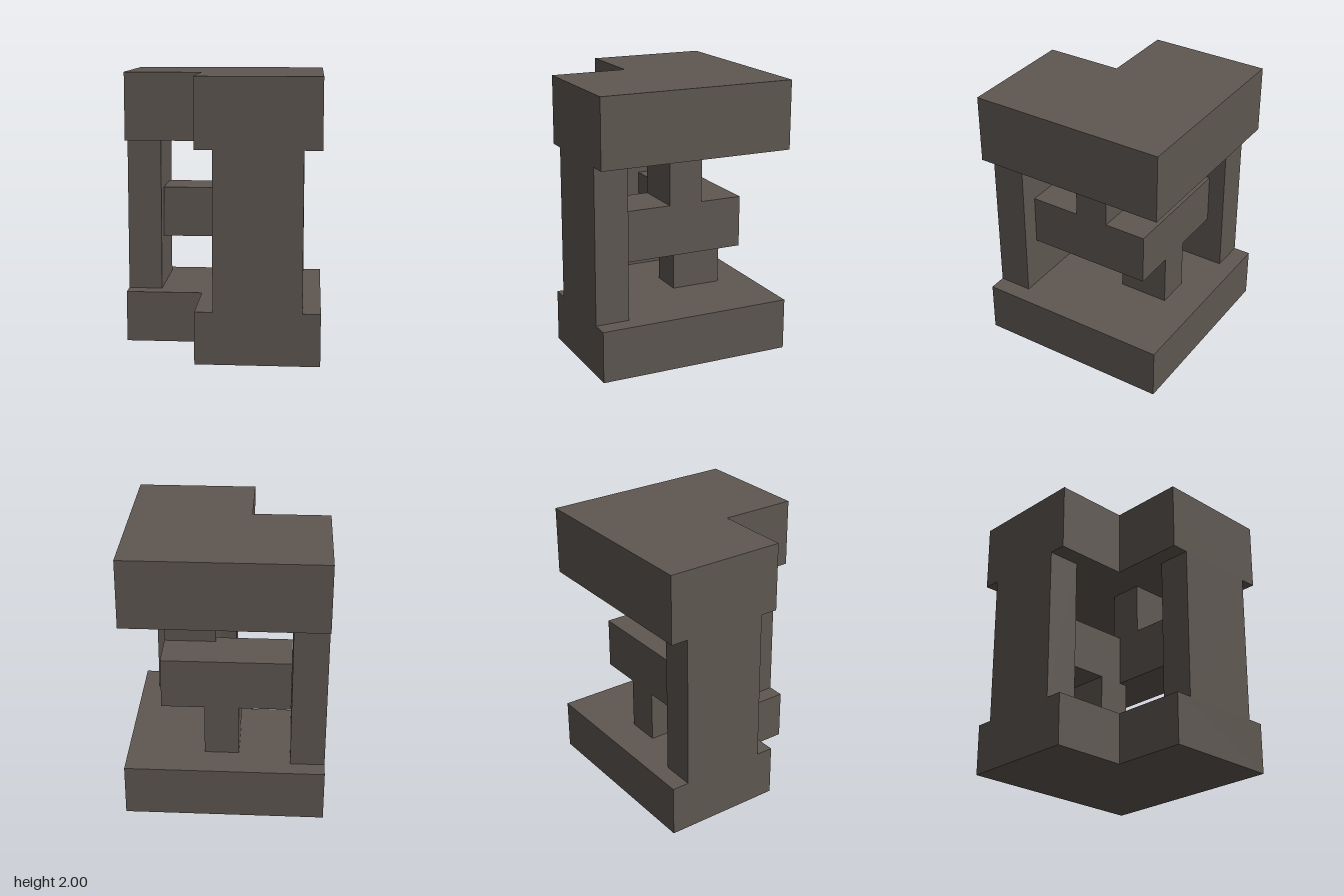
import * as THREE from 'three';

export function createModel() {
  const group = new THREE.Group();
  const stone = new THREE.MeshStandardMaterial({ color: 0x5e5751 });
  stone.name = 'dark stone';

  const add = (name, geometry) => {
    const mesh = new THREE.Mesh(geometry, stone);
    mesh.name = name;
    group.add(mesh);
  };

  // L-shaped prism: square from -out to out, notched at the -x, +z corner;
  // the two arms have the given width
  const ell = (name, out, width, y0, y1) => {
    const a = out - width;
    const shape = new THREE.Shape([
      [-out, out], [-out, a], [a, a], [a, -out], [out, -out], [out, out],
    ].map(([x, y]) => new THREE.Vector2(x, y)));
    const geometry = new THREE.ExtrudeGeometry(shape, { depth: y1 - y0, bevelEnabled: false });
    add(name, geometry.rotateX(-Math.PI / 2).translate(0, y0, 0));
  };

  const block = (name, [x0, x1], [y0, y1], [z0, z1]) => {
    const geometry = new THREE.BoxGeometry(x1 - x0, y1 - y0, z1 - z0);
    add(name, geometry.translate((x0 + x1) / 2, (y0 + y1) / 2, (z0 + z1) / 2));
  };

  const base = 0.375, braceLow = 0.755, braceTop = 1.127, roof = 1.504;

  // Base and top slabs, with the smaller brace between them
  ell('baseSlab', 0.718, 0.875, 0, base);
  ell('topSlab', 0.718, 0.875, roof, 2);
  ell('middleBrace', 0.467, 0.375, braceLow, braceTop);

  // Outer pillars at the two ends of the L
  block('frontPillar', [-0.03, 0.592], [base, roof], [0.47, 0.718]);
  block('sidePillar', [-0.718, -0.47], [base, roof], [-0.592, 0.03]);
  // Brace arms reach the pillars
  // Posts joining the brace to the slabs
  block('lowerPost', [-0.094, 0.156], [base, braceLow], [-0.467, -0.092]);
  block('upperPost', [0.092, 0.467], [braceTop, roof], [-0.156, 0.094]);

  return group;
}
